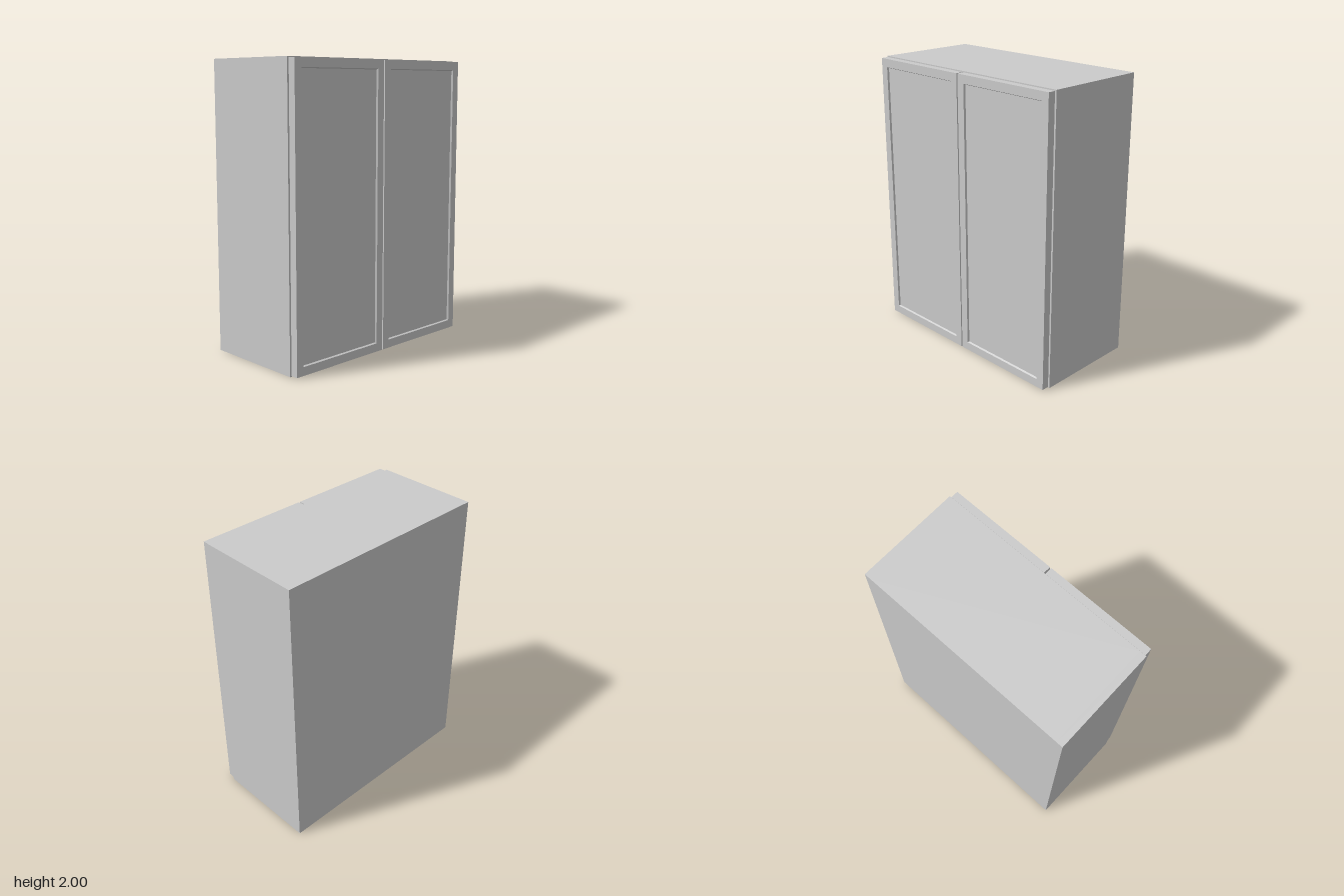
import * as THREE from 'three';

const material = new THREE.MeshStandardMaterial({ color: 0xcccccc, flatShading: true });

// Box given by its minimum and maximum corners
function panel(name, [x0, y0, z0], [x1, y1, z1]) {
  const mesh = new THREE.Mesh(new THREE.BoxGeometry(x1 - x0, y1 - y0, z1 - z0), material);
  mesh.position.set((x0 + x1) / 2, (y0 + y1) / 2, (z0 + z1) / 2);
  mesh.name = name;
  return mesh;
}

function rectangle(PathType, w, h) {
  const points = [[-w, -h], [w, -h], [w, h], [-w, h]].map(([x, y]) => new THREE.Vector2(x / 2, y / 2));
  return new PathType(points);
}

// Door: a flat slab with a raised border whose inner edge slopes slightly
function createDoor(name, side) {
  const width = 0.783, height = 1.986, holeW = 0.672, holeH = 1.87;
  const depth = 0.053, recess = 0.012, slope = 0.006;
  const door = new THREE.Group();
  door.name = name;

  door.add(panel('doorPanel', [-width / 2, -height / 2, 0], [width / 2, height / 2, depth - recess]));

  const shape = rectangle(THREE.Shape, width, height);
  shape.holes.push(rectangle(THREE.Path, holeW, holeH));
  const geometry = new THREE.ExtrudeGeometry(shape, { depth: recess, bevelEnabled: false });
  const p = geometry.attributes.position;
  for (let i = 0; i < p.count; i++) {
    const x = p.getX(i), y = p.getY(i);
    // pull the rear edge of the opening inwards
    if (p.getZ(i) < recess / 2 && Math.abs(x) < holeW / 2 + 0.001) {
      p.setXY(i, x - Math.sign(x) * slope, y - Math.sign(y) * slope);
    }
  }
  geometry.computeVertexNormals();
  const frame = new THREE.Mesh(geometry, material);
  frame.name = 'doorFrame';
  frame.position.z = depth - recess;
  door.add(frame);

  door.position.set(side * (0.005 + width / 2), 1, 0.347);
  return door;
}

export function createModel() {
  const cabinet = new THREE.Group();
  cabinet.name = 'wallCabinet';
  const w = 0.797, t = 0.047, back = -0.4, front = 0.343, inner = w - t;

  // Carcass
  cabinet.add(
    panel('leftSide', [inner, 0, back], [w, 2, front]),
    panel('rightSide', [-w, 0, back], [-inner, 2, front]),
    panel('topPanel', [-inner, 2 - t, back], [inner, 2, front]),
    panel('bottomPanel', [-inner, 0, back], [inner, t, front]),
    panel('backPanel', [-inner, t, back], [inner, 2 - t, back + 0.03]),
    panel('shelf', [-inner, 0.977, back + 0.03], [inner, 1.023, front]),
  );

  // Pair of doors
  cabinet.add(createDoor('leftDoor', 1), createDoor('rightDoor', -1));
  return cabinet;
}
